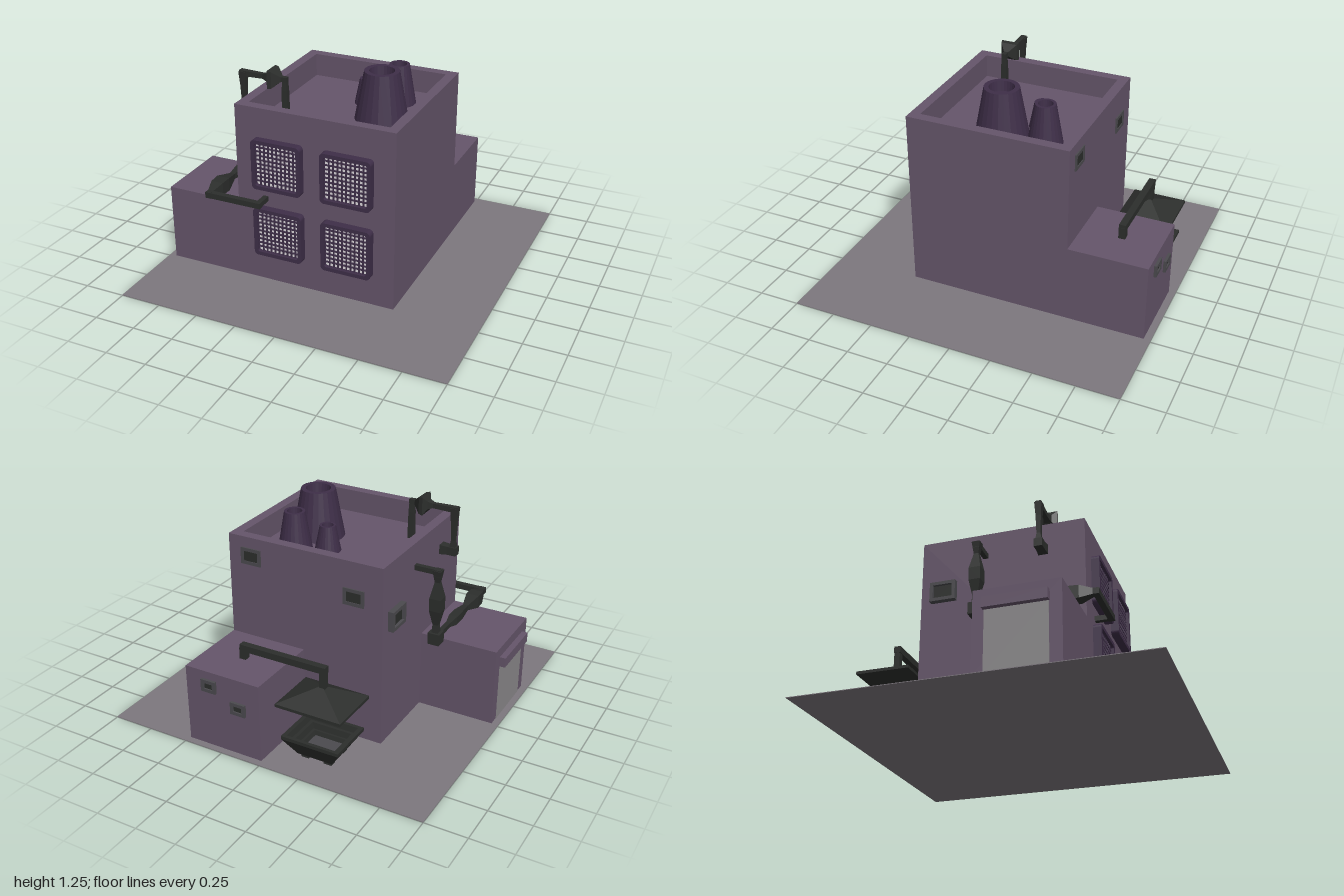
import * as THREE from 'three';
import { RoundedBoxGeometry } from 'three/addons/geometries/RoundedBoxGeometry.js';

const mat = (name, color, opts = {}) => {
  const m = new THREE.MeshStandardMaterial({ color, ...opts });
  m.name = name;
  return m;
};

export function createModel() {
  const wall = mat('mauve wall', 0x65556a);
  const ground = mat('grey ground', 0x7d777e, { side: THREE.DoubleSide });
  const trim = mat('dark purple trim', 0x3e2e48, { flatShading: true });
  const iron = mat('black iron', 0x2c2e2c, { flatShading: true });
  const pale = mat('pale glass', 0xdcd8dc);
  const frameGrey = mat('window frame grey', 0x4b4a4e);
  const doorGrey = mat('door grey', 0x8a888a);

  const model = new THREE.Group();
  model.name = 'factory';

  const add = (name, geo, m, x = 0, y = 0, z = 0, parent = model) => {
    const mesh = new THREE.Mesh(geo, m);
    mesh.name = name;
    mesh.position.set(x, y, z);
    parent.add(mesh);
    return mesh;
  };
  // box given by its min and max corners
  const box = (name, m, [x0, y0, z0], [x1, y1, z1], parent = model) =>
    add(name, new THREE.BoxGeometry(x1 - x0, y1 - y0, z1 - z0), m,
      (x0 + x1) / 2, (y0 + y1) / 2, (z0 + z1) / 2, parent);
  const group = (name, x = 0, y = 0, z = 0) => {
    const g = new THREE.Group();
    g.name = name;
    g.position.set(x, y, z);
    model.add(g);
    return g;
  };
  const lathe = (pts, sides, start = 0) =>
    new THREE.LatheGeometry(pts.map(([r, y]) => new THREE.Vector2(r, y)), sides, start);
  // square-section turned shape; radii are half widths
  const squareLathe = (pts) =>
    lathe(pts.map(([r, y]) => [r * Math.SQRT2, y]), 4, Math.PI / 4);

  // Ground plate
  box('ground', ground, [-1, 0, -1], [1, 0.004, 1]);

  // Main building: outer walls with parapet, and sunken roof
  const square = (s, Type) => new Type([[-s, -s], [s, -s], [s, s], [-s, s]].map(([x, y]) => new THREE.Vector2(x, y)));
  const outline = square(0.49, THREE.Shape);
  outline.holes.push(square(0.43, THREE.Path));
  add('mainWalls', new THREE.ExtrudeGeometry(outline, { depth: 1.097, bevelEnabled: false }), wall, 0, 0.003)
    .rotation.x = -Math.PI / 2;
  box('roof', wall, [-0.44, 0.9, -0.44], [0.44, 0.96, 0.44]);

  // Side garage and rear annex
  box('garage', wall, [-0.96, 0.003, 0.01], [-0.48, 0.48, 0.49]);
  box('annex', wall, [0.01, 0.003, -0.96], [0.49, 0.48, -0.48]);
  box('garageDoor', doorGrey, [-0.964, 0.005, 0.075], [-0.955, 0.37, 0.42]);
  box('garageAwning', wall, [-0.995, 0.36, 0.07], [-0.955, 0.42, 0.425]);

  // Chimneys: tapered, with a rim and a hollow top
  const chimney = (x, z, r, rTop, top) => add('chimney', lathe([
    [r, 0.96], [rTop, top], [rTop * 0.72, top], [rTop * 0.66, top - 0.06], [0, top - 0.06],
  ], 24), trim, x, 0, z);
  chimney(0.21, 0.03, 0.156, 0.102, 1.25);
  chimney(0.21, -0.235, 0.102, 0.06, 1.2);
  chimney(0.045, -0.148, 0.077, 0.046, 1.115);

  // Front grilles: rounded frame, pale pane and crossed bars
  const grille = (x, y) => {
    const g = group('grille', x, y, 0.49);
    const s = 0.153, h = 0.13;
    const rounded = (a, r, Type) => {
      const p = new Type();
      p.absarc(a - r, a - r, r, 0, Math.PI / 2);
      p.absarc(r - a, a - r, r, Math.PI / 2, Math.PI);
      p.absarc(r - a, r - a, r, Math.PI, Math.PI * 1.5);
      p.absarc(a - r, r - a, r, Math.PI * 1.5, Math.PI * 2);
      p.closePath();
      return p;
    };
    const ring = rounded(s, 0.025, THREE.Shape);
    ring.holes.push(rounded(h, 0.012, THREE.Path));
    add('grilleFrame', new THREE.ExtrudeGeometry(ring, { depth: 0.048, bevelEnabled: false, curveSegments: 4 }), trim, 0, 0, 0, g);
    box('grillePane', pale, [-0.135, -0.135, 0.014], [0.135, 0.135, 0.022], g);
    for (let i = 1; i < 10; i++) {
      const p = -h + i * h / 5;
      box('grilleBar', trim, [p - 0.0035, -h, 0.022], [p + 0.0035, h, 0.032], g);
      box('grilleBar', trim, [-h, p - 0.0035, 0.022], [h, p + 0.0035, 0.032], g);
    }
  };
  for (const x of [-0.218, 0.21]) for (const y of [0.34, 0.77]) grille(x, y);

  // Small windows: four-sided frame around a dark pane, facing local +z
  const windowAt = (x, y, z, turn, w, h, depth) => {
    const g = group('window', x, y, z);
    g.rotation.y = turn;
    const a = w / 2, b = h / 2, t = 0.02;
    box('windowPane', iron, [-a + t, -b + t, -0.005], [a - t, b - t, depth * 0.5], g);
    for (const s of [-1, 1]) {
      add('windowFrame', new THREE.BoxGeometry(t, h, depth), frameGrey, s * (a - t / 2), 0, depth / 2, g);
      add('windowFrame', new THREE.BoxGeometry(w - 2 * t, t, depth), frameGrey, 0, s * (b - t / 2), depth / 2, g);
    }
  };
  windowAt(0.335, 0.395, -0.96, Math.PI, 0.095, 0.075, 0.016);
  windowAt(0.145, 0.302, -0.96, Math.PI, 0.095, 0.075, 0.016);
  windowAt(0.345, 0.985, -0.49, Math.PI, 0.13, 0.1, 0.008);
  windowAt(-0.312, 0.89, -0.49, Math.PI, 0.13, 0.1, 0.008);
  windowAt(-0.49, 0.76, -0.35, -Math.PI / 2, 0.155, 0.12, 0.034);

  // Square pipe between two points; profile is [fraction, half width] pairs
  const up = new THREE.Vector3(0, 1, 0);
  const pipe = (name, from, to, profile) => {
    const a = new THREE.Vector3(...from), d = new THREE.Vector3(...to).sub(a), len = d.length();
    const pts = profile.map(([t, r]) => [r, t * len]);
    const geo = squareLathe([[0, 0], ...pts, [0, len]]);
    add(name, geo, iron, ...from).quaternion.setFromUnitVectors(up, d.normalize());
  };
  const plain = (r) => [[0, r], [1, r]];
  const joint = (name, x, y, z, r) => box(name, iron, [x - r, y - r, z - r], [x + r, y + r, z + r]);

  // Long side pipe wrapping round to the front
  pipe('sidePipe', [-0.48, 0.955, -0.1], [-0.645, 0.955, -0.1], plain(0.015));
  pipe('sidePipe', [-0.63, 0.965, -0.1], [-0.63, 0.545, -0.1],
    [[0, 0.025], [0.17, 0.014], [0.4, 0.034], [0.58, 0.034], [0.8, 0.016], [1, 0.022]]);
  joint('pipeJoint', -0.63, 0.545, -0.1, 0.035);
  joint('pipeJoint', -0.63, 0.95, -0.1, 0.02);
  pipe('sidePipe', [-0.63, 0.545, -0.1], [-0.63, 0.545, 0.6],
    [[0, 0.014], [0.25, 0.014], [0.34, 0.026], [0.46, 0.026], [0.6, 0.016], [0.75, 0.04], [0.85, 0.038], [0.95, 0.018], [1, 0.018]]);
  pipe('frontPipe', [-0.645, 0.545, 0.582], [-0.292, 0.545, 0.582], plain(0.017));
  pipe('frontPipe', [-0.309, 0.545, 0.59], [-0.309, 0.545, 0.48], plain(0.015));

  // Roof pipe rising from the side wall over the parapet
  pipe('roofPipe', [-0.48, 0.935, 0.245], [-0.59, 0.935, 0.245], [[0, 0.03], [0.5, 0.025], [1, 0.025]]);
  pipe('roofPipe', [-0.565, 0.915, 0.245], [-0.565, 1.2, 0.245],
    [[0, 0.022], [0.3, 0.012], [0.7, 0.016], [1, 0.022]]);
  pipe('roofPipe', [-0.585, 1.19, 0.245], [-0.28, 1.19, 0.245],
    [[0, 0.017], [0.5, 0.014], [0.6, 0.024], [0.66, 0.055], [0.74, 0.05], [0.88, 0.014], [1, 0.014]]);
  pipe('roofPipe', [-0.295, 1.2, 0.245], [-0.295, 0.95, 0.245], [[0, 0.012], [0.3, 0.016], [1, 0.018]]);

  // Extractor hood hung from an arm on the annex
  pipe('hoodArm', [0.27, 0.55, -0.73], [-0.28, 0.55, -0.73], plain(0.02));
  pipe('armPost', [0.252, 0.47, -0.73], [0.252, 0.55, -0.73], plain(0.02));
  pipe('hoodStem', [-0.26, 0.55, -0.73], [-0.26, 0.43, -0.73], plain(0.018));
  add('hood', squareLathe([[0, 0.43], [0.19, 0.34], [0.203, 0.34], [0.203, 0.358], [0, 0.45]]), iron, -0.252, 0, -0.733)
    .scale.z = 0.8;

  // Stepped basin on four feet below the hood
  add('basin', squareLathe([
    [0, 0.025], [0.11, 0.025], [0.18, 0.13], [0.18, 0.15], [0.155, 0.15],
    [0.145, 0.115], [0.125, 0.115], [0.115, 0.08], [0.1, 0.08], [0.09, 0.05],
  ]), iron, -0.252, 0, -0.733).scale.z = 0.82;
  box('basinFloor', frameGrey, [-0.347, 0.045, -0.81], [-0.157, 0.054, -0.656]);
  for (const x of [-0.327, -0.184]) for (const z of [-0.79, -0.655])
    box('basinFoot', iron, [x - 0.024, 0.001, z - 0.022], [x + 0.024, 0.035, z + 0.022]);

  return model;
}
